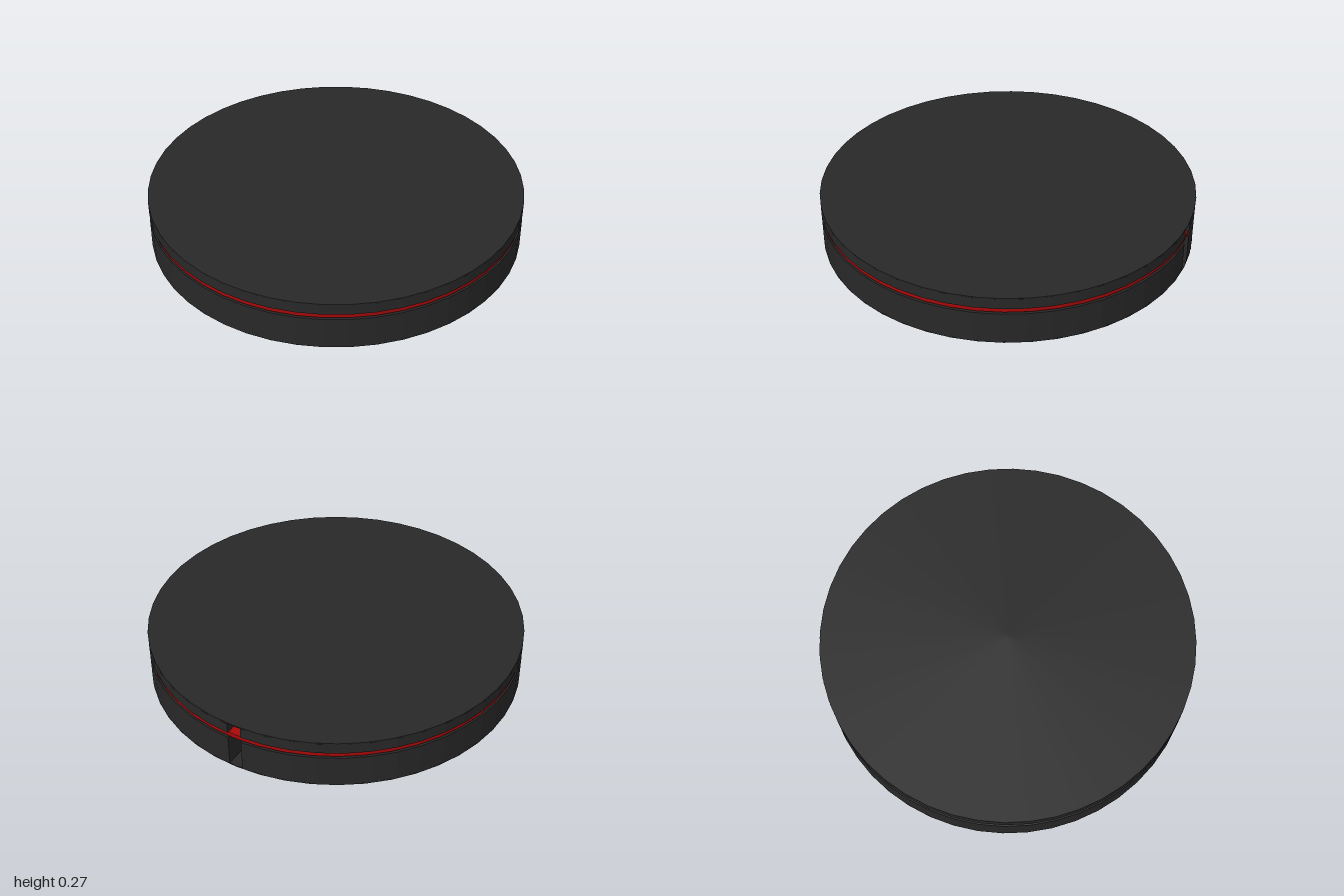
import * as THREE from 'three';

const SEGMENTS = 48;
const SLOT_HALF = 0.037; // half width of the rear slot
const SLOT_DEPTH = 0.12;

export function createModel() {
  const group = new THREE.Group();
  const dark = new THREE.MeshStandardMaterial({ color: 0x282828 });
  const red = new THREE.MeshStandardMaterial({ color: 0xa80808 });

  function add(name, geometry, material, y) {
    const mesh = new THREE.Mesh(geometry, material);
    mesh.name = name;
    mesh.position.y = y;
    group.add(mesh);
  }

  // plain round layer between two heights
  function disc(name, radius, y0, y1, material) {
    add(name, new THREE.CylinderGeometry(radius, radius, y1 - y0, SEGMENTS), material, (y0 + y1) / 2);
  }

  // round layer with a slot cut into its back edge
  function slottedDisc(name, radius, y0, y1, material) {
    const half = Math.asin(SLOT_HALF / radius);
    const start = Math.PI / 2 + half;
    const sweep = Math.PI * 2 - half * 2;
    const points = [];
    for (let i = 0; i <= SEGMENTS; i++) {
      const a = start + (sweep * i) / SEGMENTS;
      points.push(new THREE.Vector2(Math.cos(a) * radius, Math.sin(a) * radius));
    }
    points.push(new THREE.Vector2(SLOT_HALF, radius - SLOT_DEPTH));
    points.push(new THREE.Vector2(-SLOT_HALF, radius - SLOT_DEPTH));
    const geometry = new THREE.ExtrudeGeometry(new THREE.Shape(points), { depth: y1 - y0, bevelEnabled: false });
    geometry.rotateX(-Math.PI / 2);
    add(name, geometry, material, y0);
  }

  // lower body: thin floor plate and slotted wall
  disc('floorPlate', 1, 0, 0.006, dark);
  slottedDisc('lowerBody', 1, 0.006, 0.176, dark);

  // recessed seam with the coloured band
  slottedDisc('seam', 0.985, 0.176, 0.183, dark);
  disc('colouredBand', 0.994, 0.183, 0.207, red);

  // lid: slotted wall and thin top plate
  slottedDisc('lidWall', 1, 0.207, 0.264, dark);
  disc('topPlate', 1, 0.264, 0.27, dark);

  return group;
}
